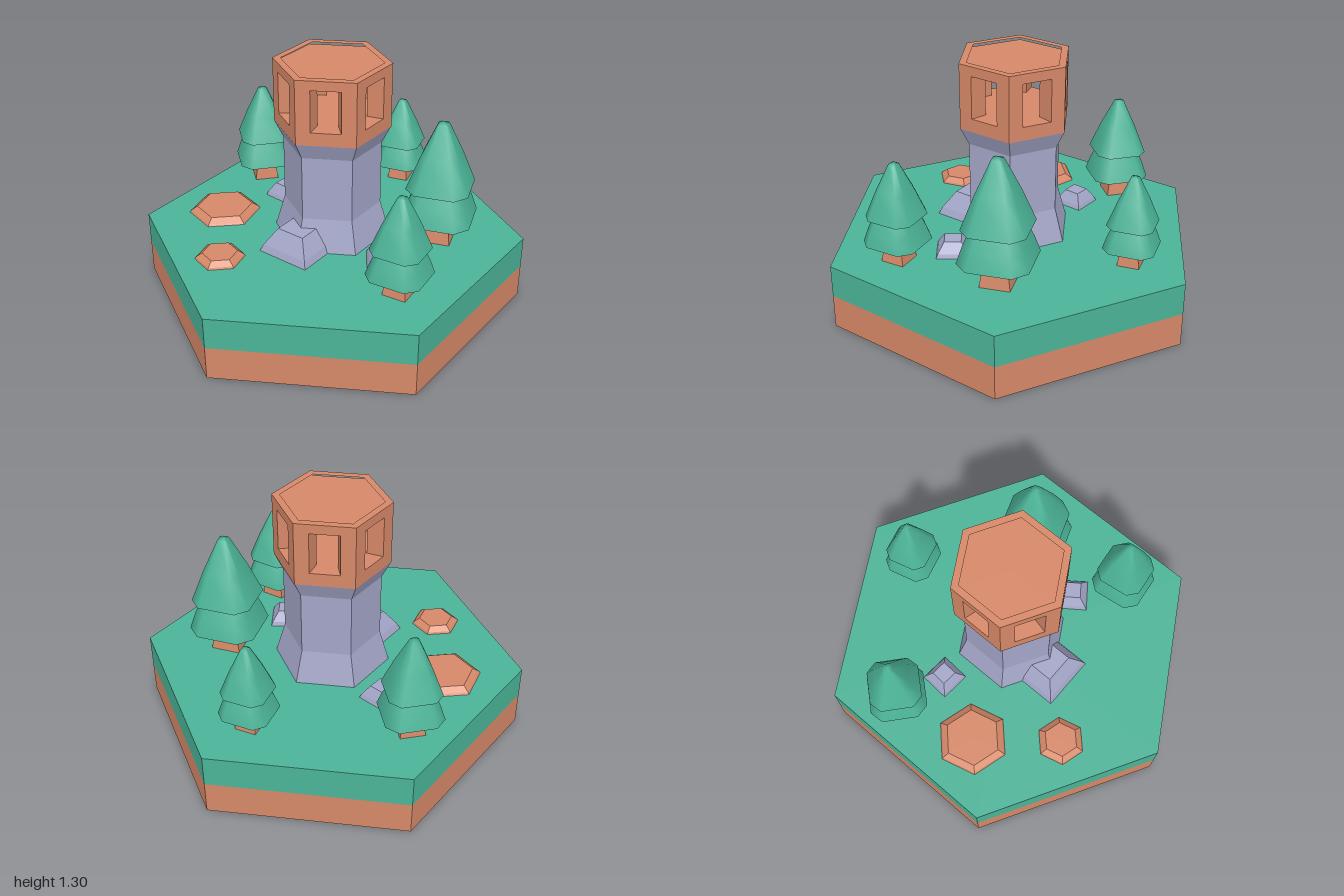
import * as THREE from 'three';
import { mergeVertices } from 'three/addons/utils/BufferGeometryUtils.js';

const paint = (name, color) => {
  const m = new THREE.MeshStandardMaterial({ color });
  m.name = name;
  return m;
};

export function createModel() {
  const green = paint('leaf green', 0x4bb397);
  const brown = paint('clay brown', 0xd68868);
  const stone = paint('stone grey', 0xa4a6c8);
  const model = new THREE.Group();
  const GROUND = 0.35;

  const add = (parent, name, geometry, material, x = 0, y = 0, z = 0, turn = 0) => {
    const mesh = new THREE.Mesh(geometry, material);
    mesh.name = name;
    mesh.position.set(x, y, z);
    mesh.rotation.y = THREE.MathUtils.degToRad(turn);
    parent.add(mesh);
    return mesh;
  };

  // Flat-faced solid from [radius, height] rings, listed bottom to top
  const faceted = (rings, sides) => {
    const pts = rings.map(([r, y]) => new THREE.Vector2(r, y));
    pts.unshift(new THREE.Vector2(0, pts[0].y));
    pts.push(new THREE.Vector2(0, pts[pts.length - 1].y));
    const g = new THREE.LatheGeometry(pts, sides).toNonIndexed();
    g.computeVertexNormals();
    return g;
  };

  // Smooth tier whose section is a square with cut corners
  const leafTier = (rings) => {
    const g = new THREE.LatheGeometry(rings.map(([r, y]) => new THREE.Vector2(r, y)), 8);
    const p = g.attributes.position;
    const half = THREE.MathUtils.degToRad(13);
    for (let i = 0; i < p.count; i++) {
      const k = Math.floor(i / rings.length) % 8;
      const r = Math.hypot(p.getX(i), p.getZ(i));
      const a = Math.floor(k / 2) * Math.PI / 2 + (k % 2 ? half : -half);
      p.setX(i, r * Math.sin(a));
      p.setZ(i, r * Math.cos(a));
    }
    g.deleteAttribute('normal');
    g.deleteAttribute('uv');
    const merged = mergeVertices(g);
    merged.computeVertexNormals();
    return merged;
  };

  // Hexagonal ground
  add(model, 'earthLayer', faceted([[1, 0], [1, 0.18]], 6), brown);
  add(model, 'grassLayer', faceted([[1, 0.18], [1, GROUND]], 6), green);

  // Stone tower, flared at foot and neck
  const tower = new THREE.Group();
  tower.name = 'tower';
  model.add(tower);
  add(tower, 'towerShaft', faceted([[0.3, GROUND], [0.25, 0.525], [0.25, 0.87], [0.295, 0.96]], 6), stone);

  // Lookout room: sill, six corner posts, roof slab and rim
  const R = 0.295, SILL = 1.03, LINTEL = 1.25, INNER = 0.68, HALF_WINDOW = 0.075;
  add(tower, 'lookoutSill', faceted([[R, 0.96], [R, SILL]], 6), brown);
  add(tower, 'lookoutRoof', faceted([[R, LINTEL], [R, 1.275]], 6), brown);

  const upright = (shape, depth) =>
    new THREE.ExtrudeGeometry(shape, { depth, bevelEnabled: false }).rotateX(-Math.PI / 2);
  const side = R / 2 - HALF_WINDOW;
  const cx = side * Math.cos(Math.PI / 6), cy = R - side / 2;
  const section = [[cx, cy], [0, R], [-cx, cy]];
  const inside = section.map(([x, y]) => [x * INNER, y * INNER]).reverse();
  const postShape = new THREE.Shape([...section, ...inside].map(([x, y]) => new THREE.Vector2(x, y)));
  const postGeometry = upright(postShape, LINTEL - SILL);
  for (let i = 0; i < 6; i++) add(tower, 'lookoutPost', postGeometry, brown, 0, SILL, 0, i * 60);

  const hexagon = (r) => Array.from({ length: 6 }, (_, i) =>
    new THREE.Vector2(r * Math.sin(i * Math.PI / 3), r * Math.cos(i * Math.PI / 3)));
  const rimShape = new THREE.Shape(hexagon(R));
  rimShape.holes.push(new THREE.Path(hexagon(0.255)));
  add(tower, 'roofRim', upright(rimShape, 0.025), brown, 0, 1.275);

  // Trees: x, z, scale, turn
  const trunk = faceted([[0.11, 0], [0.08, 0.15]], 4);
  const lower = leafTier([[0, 0.137], [0.21, 0.137]]);
  const lowerSide = leafTier([[0.21, 0.137], [0.178, 0.225], [0.135, 0.32]]);
  const upper = leafTier([[0, 0.312], [0.188, 0.312]]);
  const upperSide = leafTier([[0.188, 0.312], [0.115, 0.485], [0.032, 0.655], [0, 0.66]]);
  for (const [x, z, scale, turn] of [
    [0.467, 0.3, 1, 5], [0.065, 0.665, 0.8, -8], [0.58, -0.363, 0.72, 0], [-0.13, -0.68, 0.825, 34],
  ]) {
    const tree = new THREE.Group();
    tree.name = 'tree';
    add(tree, 'trunk', trunk, brown);
    add(tree, 'lowerLeavesUnderside', lower, green);
    add(tree, 'lowerLeaves', lowerSide, green);
    add(tree, 'upperLeavesUnderside', upper, green);
    add(tree, 'upperLeaves', upperSide, green);
    tree.position.set(x, GROUND, z);
    tree.scale.setScalar(scale);
    tree.rotation.y = THREE.MathUtils.degToRad(turn);
    model.add(tree);
  }

  // Boulders: x, z, foot radius, top radius, height, turn
  for (const [x, z, foot, top, h, turn] of [
    [-0.23, 0.12, 0.207, 0.11, 0.125, -15],
    [0.11, 0.393, 0.117, 0.06, 0.075, 21],
    [-0.1, -0.415, 0.112, 0.058, 0.073, -19],
  ]) {
    const shoulder = foot * 0.9;
    add(model, 'boulder', faceted([[foot, 0], [shoulder, h * 0.3], [top, h]], 4), stone, x, GROUND, z, turn);
  }

  // Dirt mounds: x, z, foot radius, top radius, turn
  for (const [x, z, foot, top, turn] of [
    [-0.47, -0.385, 0.19, 0.148, 14],
    [-0.635, 0.045, 0.127, 0.09, 14],
  ]) {
    add(model, 'dirtMound', faceted([[foot, 0], [foot * 0.96, 0.01], [top, 0.033]], 6), brown, x, GROUND, z, turn);
  }

  return model;
}
